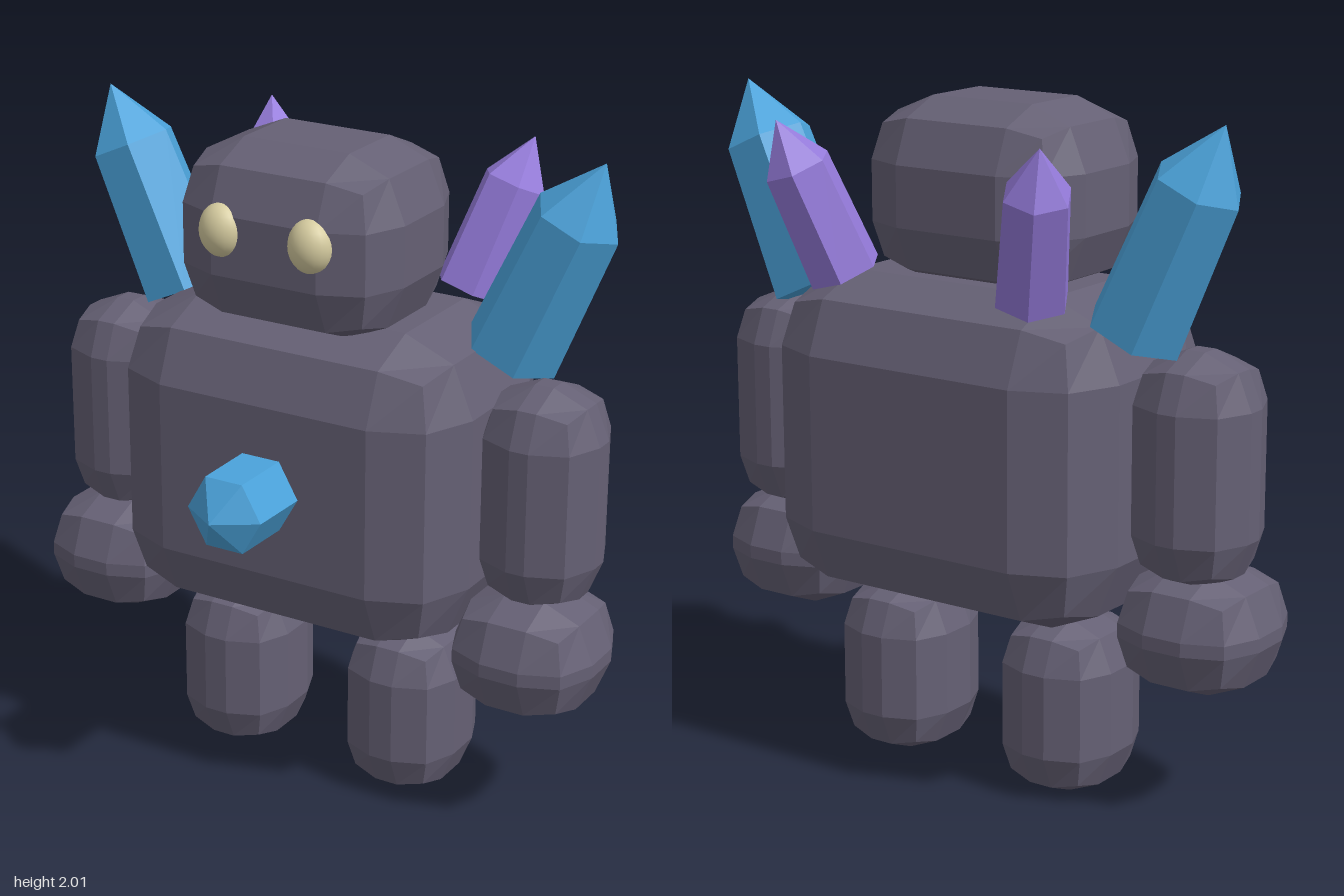
import * as THREE from 'three';
import { RoundedBoxGeometry } from 'three/addons/geometries/RoundedBoxGeometry.js';

const flat = (name, color) => {
  const m = new THREE.MeshStandardMaterial({ color, flatShading: true });
  m.name = name;
  return m;
};

export function createModel() {
  const golem = new THREE.Group();
  golem.name = 'golem';

  const stone = flat('stone', 0x656074);
  const blue = flat('blueCrystal', 0x4ba3db);
  const purple = flat('purpleCrystal', 0x957bdb);
  const glow = new THREE.MeshStandardMaterial({ color: 0xd6cca0 });
  glow.name = 'paleEye';

  // Chamfered block given by its outer bounds; one-segment rounding
  // reaches only about 0.905 of its radius, so the size is padded to match.
  function block(name, [x0, x1], [y0, y1], [z0, z1], r) {
    const pad = 2 * 0.0955 * r;
    const geo = new RoundedBoxGeometry(x1 - x0 + pad, y1 - y0 + pad, z1 - z0 + pad, 1, r);
    const mesh = new THREE.Mesh(geo, stone);
    mesh.name = name;
    mesh.position.set((x0 + x1) / 2, (y0 + y1) / 2, (z0 + z1) / 2);
    golem.add(mesh);
  }

  // Six-sided crystal from base centre to tip, with a shoulder below the point
  function crystal(name, material, base, tip, rBase, rShoulder, shoulderAt) {
    const from = new THREE.Vector3(...base);
    const axis = new THREE.Vector3(...tip).sub(from);
    const length = axis.length();
    const geo = new THREE.CylinderGeometry(0, rBase, 2, 6, 2, false, Math.PI / 6);
    const p = geo.attributes.position;
    for (let i = 0; i < p.count; i++) {
      const row = Math.round(p.getY(i)); // -1 base, 0 shoulder, 1 tip
      const k = row === 0 ? rShoulder / (rBase / 2) : 1;
      const y = row < 0 ? 0 : row === 0 ? shoulderAt * length : length;
      p.setXYZ(i, p.getX(i) * k, y, p.getZ(i) * k);
    }
    geo.computeVertexNormals();
    const mesh = new THREE.Mesh(geo, material);
    mesh.name = name;
    mesh.position.copy(from);
    mesh.quaternion.setFromUnitVectors(new THREE.Vector3(0, 1, 0), axis.normalize());
    golem.add(mesh);
  }

  // Trunk and head
  block('torso', [-0.545, 0.545], [0.55, 1.47], [-0.485, 0.265], 0.22);
  block('head', [-0.335, 0.335], [1.47, 1.975], [-0.3, 0.25], 0.18);
  crystal('chestCrystal', blue, [0, 1.01, 0.05], [0, 1.01, 0.56], 0.126, 0.122, 0.845);

  for (const s of [1, -1]) {
    const side = s > 0 ? 'left' : 'right';
    const span = (a, b) => (s > 0 ? [a, b] : [-b, -a]);

    // Limbs
    block(side + 'Arm', span(0.55, 0.88), [0.7, 1.345], [-0.27, 0.06], 0.15);
    block(side + 'Hand', span(0.508, 0.92), [0.385, 0.715], [-0.275, 0.142], 0.16);
    block(side + 'Leg', span(0.13, 0.458), [0, 0.505], [-0.292, 0.08], 0.14);

    // Shoulder and back crystals
    crystal(side + 'ShoulderCrystal', blue, [s * 0.555, 1.4, -0.19],
      [s * 0.825, 1.995, -0.185], 0.147, 0.133, 0.715);
    crystal(side + 'BackCrystal', purple, [s * 0.325, 1.495, -0.36],
      [s * 0.45, 1.94, -0.505], 0.11, 0.1, 0.7);

    // Eye
    const eye = new THREE.Mesh(new THREE.SphereGeometry(1, 20, 14), glow);
    eye.name = side + 'Eye';
    eye.scale.set(0.069, 0.08, 0.062);
    eye.position.set(s * 0.146, 1.765, 0.246);
    golem.add(eye);
  }
  return golem;
}
